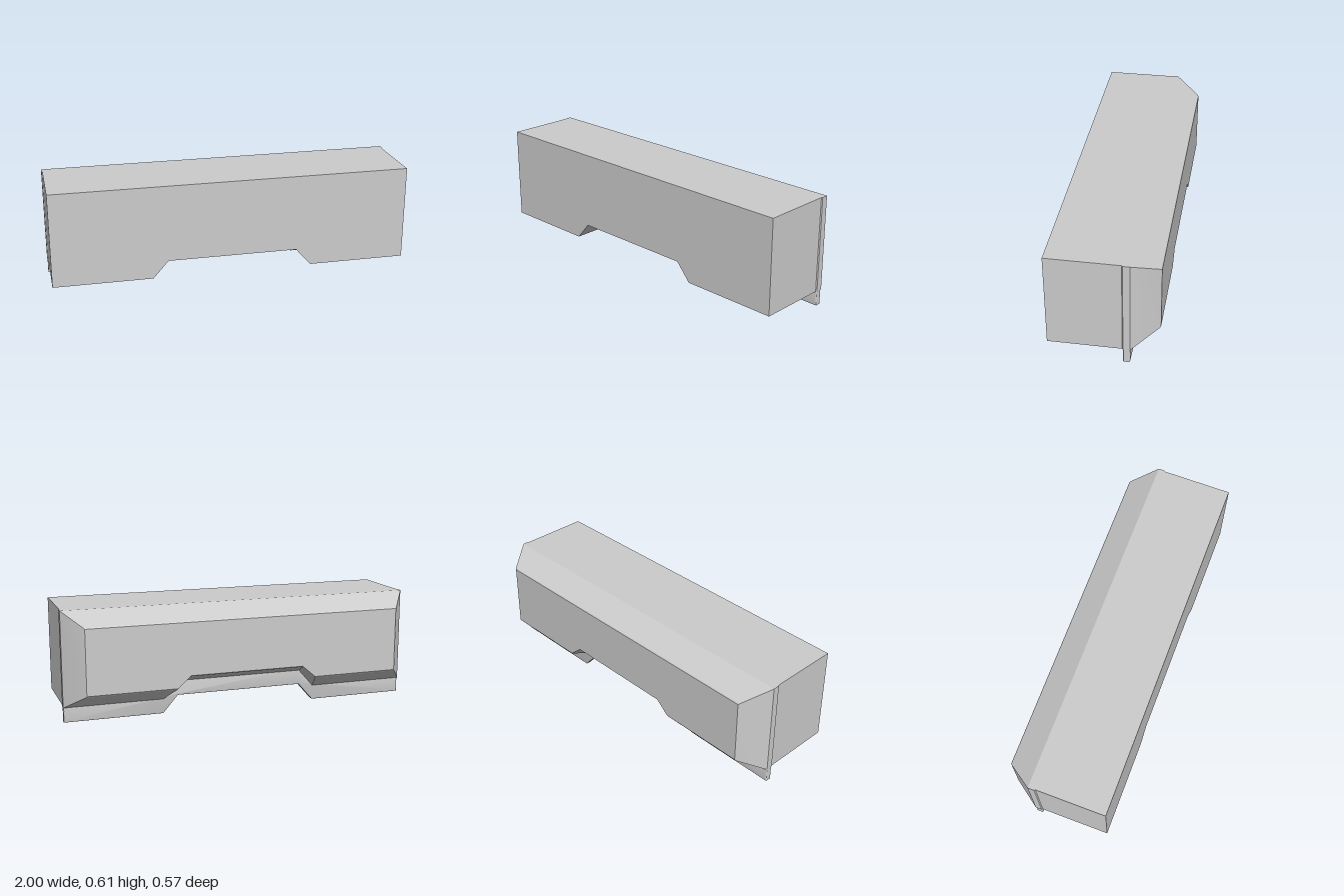
import * as THREE from 'three';
import { toCreasedNormals } from 'three/addons/utils/BufferGeometryUtils.js';

const material = new THREE.MeshStandardMaterial({ color: 0xcccccc });

const BOTTOM = 0.083, TOP = 0.612, NOTCH = 0.18;

// Block outline with a trapezoid notch in its underside, counter-clockwise from the front
function outline(halfWidth) {
  return [
    [-halfWidth, BOTTOM], [-0.447, BOTTOM], [-0.362, NOTCH], [0.362, NOTCH],
    [0.447, BOTTOM], [halfWidth, BOTTOM], [halfWidth, TOP], [-halfWidth, TOP],
  ];
}

// Outline shrunk towards its middle and placed at depth z
function section(z, halfWidth, sx = 1, low = BOTTOM, high = TOP) {
  const sy = (high - low) / (TOP - BOTTOM);
  return outline(halfWidth).map(([x, y]) => [x * sx, low + (y - BOTTOM) * sy, z]);
}

// Skin the sections from front to back and close both ends
function loft(sections) {
  const pos = [];
  const tri = (a, b, c) => pos.push(...a, ...b, ...c);
  for (let s = 0; s < sections.length - 1; s++) {
    const f = sections[s], b = sections[s + 1];
    for (let i = 0; i < f.length; i++) {
      const j = (i + 1) % f.length;
      tri(f[i], b[i], f[j]);
      tri(f[j], b[i], b[j]);
    }
  }
  const front = sections[0], back = sections[sections.length - 1];
  const caps = THREE.ShapeUtils.triangulateShape(front.map(([x, y]) => new THREE.Vector2(x, y)), []);
  for (const [a, b, c] of caps) {
    tri(front[a], front[b], front[c]);
    tri(back[a], back[c], back[b]);
  }
  const geometry = new THREE.BufferGeometry();
  geometry.setAttribute('position', new THREE.Float32BufferAttribute(pos, 3));
  return toCreasedNormals(geometry, 0.35);
}

export function createModel() {
  const group = new THREE.Group();

  // Main block with a tapered back
  const body = new THREE.Mesh(loft([
    section(0.286, 0.995),
    section(-0.102, 0.995),
    section(-0.107, 1),
    section(-0.143, 1),
    section(-0.281, 1, 0.903, 0.167, 0.54),
    section(-0.286, 1, 0.897, 0.174, 0.534),
  ]), material);
  body.name = 'body';
  group.add(body);

  // Thin lip hanging below the block, following the notch
  const drop = 0.083, bevel = 0.006;
  const lower = outline(0.998).slice(0, 6).map(([x, y]) => [x, y - drop]);
  const upper = outline(0.998).slice(0, 6).map(([x, y]) => [x, y + 0.02]).reverse();
  const shape = new THREE.Shape([...lower, ...upper].map(([x, y]) => new THREE.Vector2(x, y)));
  const lipGeometry = new THREE.ExtrudeGeometry(shape, {
    depth: 0.038 - 2 * bevel, bevelThickness: bevel, bevelSize: bevel,
    bevelOffset: -bevel, bevelSegments: 3,
  });
  lipGeometry.translate(0, 0, -0.143 + bevel);
  const lip = new THREE.Mesh(toCreasedNormals(lipGeometry, 0.6), material);
  lip.name = 'lip';
  group.add(lip);

  return group;
}
